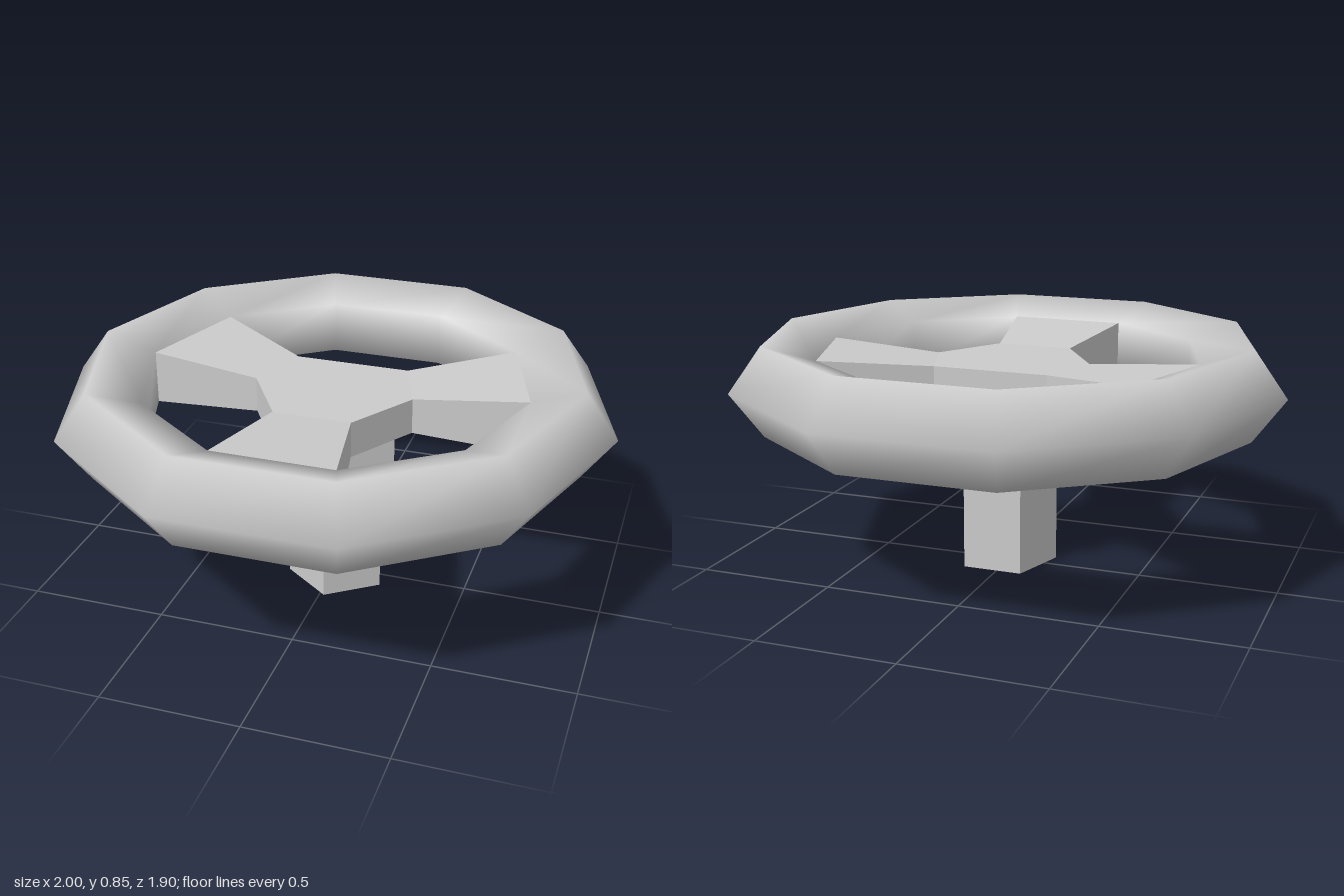
import * as THREE from 'three';

const MID = 0.695;            // height of the wheel's middle plane
const RING = 0.832, TUBE = 0.168; // rim radius and tube radius
const INNER = RING - TUBE * Math.cos(Math.PI / 5);
const HUB_H = 0.065, RIM_H = TUBE * Math.sin(Math.PI / 5);

// Slab between mirrored top and bottom outlines. Points are [x, z, halfHeight],
// counter-clockwise from above; walls lists the edges that get a side face.
function slab(points, walls) {
  const pos = [];
  const top = points.map(([x, z, h]) => [x, h, z]);
  const bottom = points.map(([x, z, h]) => [x, -h, z]);
  const tri = (a, b, c) => pos.push(...a, ...b, ...c);
  const n = points.length;
  for (let i = 1; i < n - 1; i++) {
    tri(top[0], top[i], top[i + 1]);
    tri(bottom[0], bottom[i + 1], bottom[i]);
  }
  for (const i of walls) {
    const j = (i + 1) % n;
    tri(bottom[i], bottom[j], top[j]);
    tri(bottom[i], top[j], top[i]);
  }
  const geometry = new THREE.BufferGeometry();
  geometry.setAttribute('position', new THREE.Float32BufferAttribute(pos, 3));
  geometry.computeVertexNormals();
  return geometry;
}

// Corner on the inside of the rim, at a multiple of 36 degrees
function rimCorner(step) {
  const a = step * Math.PI / 5;
  return [INNER * Math.cos(a), INNER * Math.sin(a), RIM_H];
}

export function createModel() {
  const group = new THREE.Group();
  const smooth = new THREE.MeshStandardMaterial({ color: 0xcccccc });
  const flat = new THREE.MeshStandardMaterial({ color: 0xcccccc, flatShading: true });
  const add = (name, geometry, material, x, y, z) => {
    const mesh = new THREE.Mesh(geometry, material);
    mesh.name = name;
    mesh.position.set(x, y, z);
    group.add(mesh);
  };

  // Ten-sided rim with a five-sided section, point outwards
  const rim = new THREE.TorusGeometry(RING, TUBE, 5, 10);
  rim.rotateX(-Math.PI / 2);
  add('rim', rim, smooth, 0, MID, 0);

  // Six-sided hub plate
  const midR = [0.29, 0.03, HUB_H], backR = [0.21, -0.2, HUB_H], frontR = [0.14, 0.27, HUB_H];
  const mirror = ([x, z, h]) => [-x, z, h];
  const hub = [midR, backR, mirror(backR), mirror(midR), mirror(frontR), frontR];
  add('hub', slab(hub, [1, 3, 5]), flat, 0, MID, 0);

  // Spokes, each thickening towards a full facet of the rim
  const side = [midR, rimCorner(0), rimCorner(-1), backR];
  add('leftSpoke', slab(side, [0, 2]), flat, 0, MID, 0);
  add('rightSpoke', slab(side.map(mirror).reverse(), [0, 2]), flat, 0, MID, 0);
  const front = [frontR, mirror(frontR), rimCorner(3), rimCorner(2)];
  add('frontSpoke', slab(front, [1, 3]), flat, 0, MID, 0);

  // Five-sided column flaring out below the hub
  const profile = [[0, 0], [0.186, 0], [0.186, 0.405], [0.238, 0.48], [0.238, MID - HUB_H]]
    .map(([r, y]) => new THREE.Vector2(r, y));
  add('column', new THREE.LatheGeometry(profile, 5), flat, 0.017, 0, 0.013);

  return group;
}
